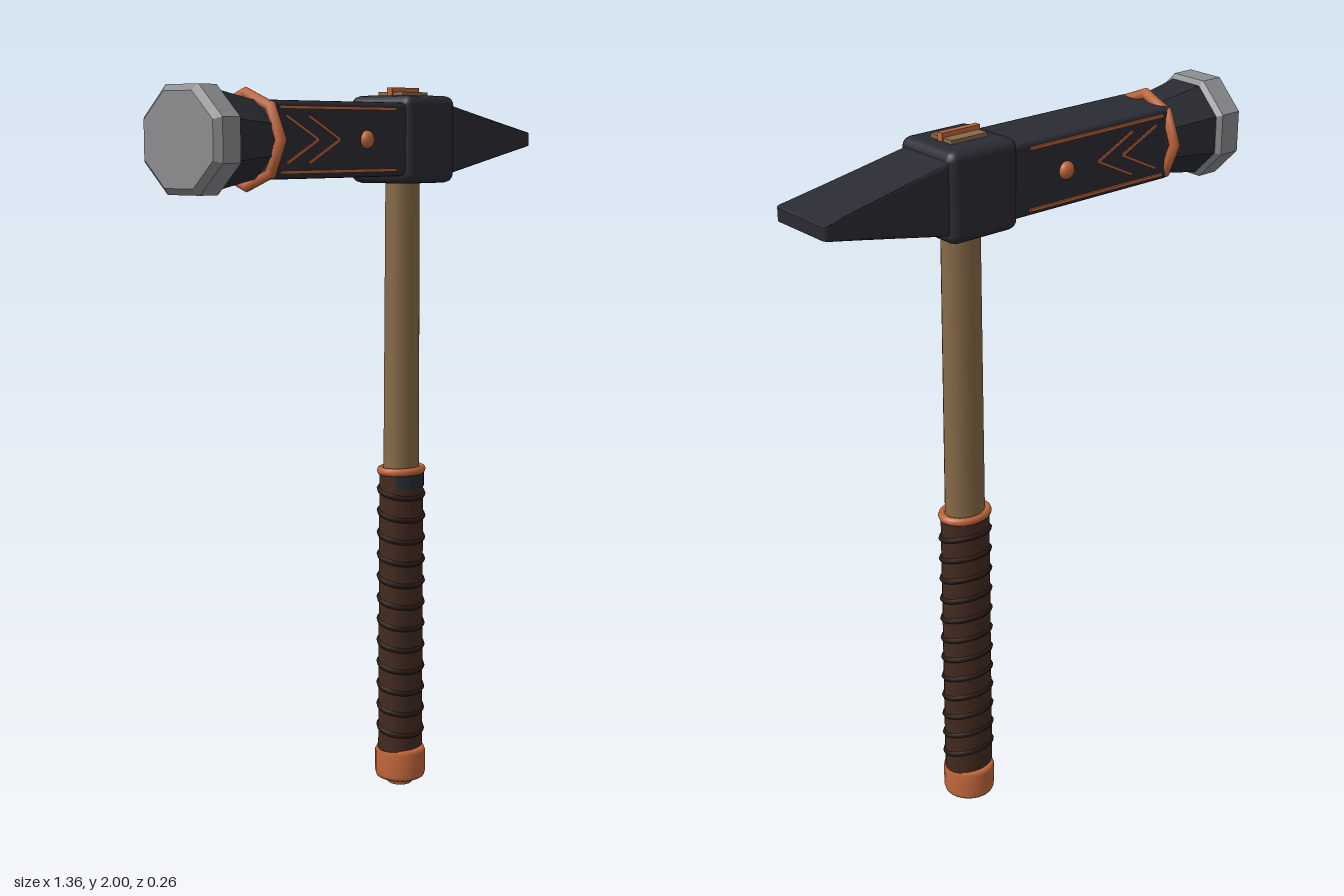
import * as THREE from 'three';
import { RoundedBoxGeometry } from 'three/addons/geometries/RoundedBoxGeometry.js';

const material = (name, color) => {
  const m = new THREE.MeshStandardMaterial({ color });
  m.name = name;
  return m;
};

export function createModel() {
  const iron = material('dark iron', 0x2a2b33);
  const steel = material('steel', 0x8c8d90);
  const copper = material('copper', 0xbf653a);
  const wood = material('wood', 0x876a48);
  const leather = material('leather', 0x432a20);
  const cord = material('dark cord', 0x2a1a15);

  const model = new THREE.Group();
  model.name = 'hammer';
  const head = new THREE.Group();
  head.name = 'head';
  head.position.y = 1.86;
  const handle = new THREE.Group();
  handle.name = 'handle';
  handle.position.x = 0.197;
  model.add(head, handle);

  const add = (parent, name, geometry, mat, x = 0, y = 0, z = 0) => {
    const mesh = new THREE.Mesh(geometry, mat);
    mesh.name = name;
    mesh.position.set(x, y, z);
    parent.add(mesh);
    return mesh;
  };
  const box = (w, h, d, r) => r ? new RoundedBoxGeometry(w, h, d, 2, r) : new THREE.BoxGeometry(w, h, d);

  // Flat-faced octagonal turning along -x; profile holds [radius, distance]
  const octagon = (profile) => {
    const points = profile.map(([r, d]) => new THREE.Vector2(r / Math.cos(Math.PI / 8), d));
    const g = new THREE.LatheGeometry(points, 8).rotateY(Math.PI / 8).rotateZ(Math.PI / 2).toNonIndexed();
    g.computeVertexNormals();
    return g;
  };

  // Striking end
  add(head, 'strikingFace', octagon([[0, 0.588], [0.12, 0.588], [0.132, 0.6], [0.132, 0.662], [0.116, 0.679], [0, 0.679]]), steel);
  add(head, 'flaredNeck', octagon([[0, 0.41], [0.09, 0.41], [0.12, 0.592], [0, 0.592]]), iron);
  add(head, 'neckRing', new THREE.TorusGeometry(0.115, 0.015, 10, 8).rotateY(Math.PI / 2), copper, -0.438);
  add(head, 'headBody', box(0.56, 0.195, 0.184, 0.014), iron, -0.17);
  add(head, 'eyeBlock', box(0.216, 0.236, 0.212, 0.026), iron, 0.197);

  // Tapered peen: thins in height and widens slightly toward the tip
  const length = 0.4;
  const peen = new RoundedBoxGeometry(length, 0.2, 0.184, 3, 0.014);
  const p = peen.attributes.position;
  for (let i = 0; i < p.count; i++) {
    const t = p.getX(i) / length + 0.5;
    p.setY(i, p.getY(i) * (1 - 0.81 * t));
    p.setZ(i, p.getZ(i) * (0.98 + 0.12 * t));
  }
  peen.computeVertexNormals();
  add(head, 'peen', peen, iron, 0.476);

  // Copper inlay on both sides of the head
  for (const side of [1, -1]) {
    const inlay = new THREE.Group();
    inlay.name = side > 0 ? 'frontInlay' : 'backInlay';
    inlay.position.z = side * 0.093;
    head.add(inlay);
    for (const s of [1, -1]) {
      add(inlay, 'borderLine', box(0.46, 0.008, 0.009), copper, -0.183, s * 0.08);
      for (const tip of [-0.27, -0.185]) {
        const bar = add(inlay, 'chevronBar', box(0.134, 0.007, 0.005), copper, tip - 0.06, s * 0.029);
        bar.rotation.z = -s * Math.atan2(0.058, 0.12);
      }
    }
    const stud = add(inlay, 'stud', new THREE.SphereGeometry(0.024, 14, 10), copper, -0.075);
    stud.scale.z = 0.7;
  }

  // Handle end and wedge seen on top of the eye
  add(head, 'handleEnd', box(0.112, 0.02, 0.084), wood, 0.197, 0.118);
  add(head, 'copperWedge', box(0.12, 0.03, 0.018), copper, 0.197, 0.125);

  // Oval shaft and wrapped grip
  const oval = (rTop, rBottom, h, depth) => new THREE.CylinderGeometry(rTop, rBottom, h, 20).scale(1, 1, depth);
  add(handle, 'shaft', oval(0.056, 0.06, 0.86, 0.75), wood, 0, 1.35);
  add(handle, 'grip', oval(0.072, 0.074, 0.82, 0.79), leather, 0, 0.52);
  add(handle, 'frontCollar', new THREE.CylinderGeometry(0.0735, 0.0735, 0.04, 10, 1, true, -1, 2).scale(1, 1, 0.8), iron, 0, 0.905);
  for (let i = 0; i < 12; i++) {
    const wrap = add(handle, 'gripWrap', new THREE.TorusGeometry(0.072, 0.008, 6, 24).rotateX(Math.PI / 2).scale(1, 1, 0.81), cord, 0, 0.17 + i * 0.0637);
    wrap.rotation.x = 0.25;
  }
  add(handle, 'gripRing', new THREE.TorusGeometry(0.067, 0.012, 8, 24).rotateX(Math.PI / 2).scale(1, 1, 0.8), copper, 0, 0.933);

  // Pommel with a small button underneath
  const pommel = [[0, 0.018], [0.06, 0.018], [0.07, 0.024], [0.073, 0.034], [0.073, 0.1], [0.067, 0.113], [0, 0.113]];
  add(handle, 'pommel', new THREE.LatheGeometry(pommel.map(([r, y]) => new THREE.Vector2(r, y)), 20), copper);
  add(handle, 'pommelButton', new THREE.CylinderGeometry(0.042, 0.034, 0.025, 16), copper, 0, 0.0125);

  return model;
}
